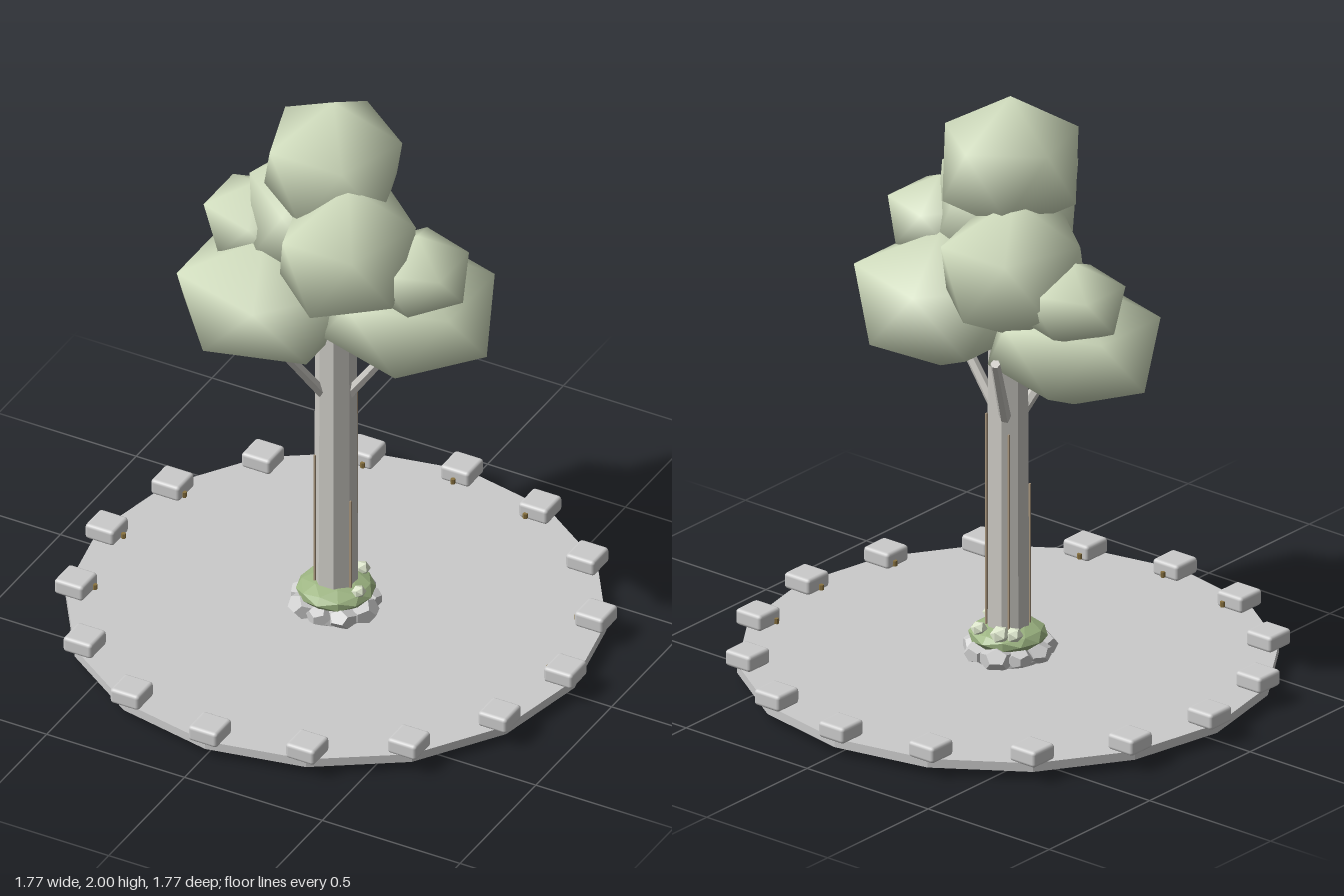
import * as THREE from 'three';
import { mergeVertices } from 'three/addons/utils/BufferGeometryUtils.js';
import { RoundedBoxGeometry } from 'three/addons/geometries/RoundedBoxGeometry.js';

const mat = (color, flatShading = true) => new THREE.MeshStandardMaterial({ color, flatShading });
const stone = mat(0xcccccc);
const smoothStone = mat(0xcccccc, false);
const bark = mat(0xcccac4);
const groove = mat(0xa8957c);
const leaf = mat(0xd3dfc0, false);
const moss = mat(0x9db582);
const paleMoss = mat(0xdde6cc);
const bronze = mat(0x8a7340);

function add(parent, name, geometry, material, x = 0, y = 0, z = 0) {
  const mesh = new THREE.Mesh(geometry, material);
  mesh.name = name;
  mesh.position.set(x, y, z);
  parent.add(mesh);
  return mesh;
}

// Smooth twelve-corner blob standing on one corner
function blobGeometry(yaw, rx, ry, rz) {
  let g = new THREE.IcosahedronGeometry(1, 0);
  g.deleteAttribute('normal');
  g.deleteAttribute('uv');
  g = mergeVertices(g, 1e-3);
  g.rotateZ(-Math.atan(2 / (1 + Math.sqrt(5))));
  g.rotateY(yaw);
  g.scale(rx, ry, rz);
  g.computeVertexNormals();
  return g;
}

// Straight limb between two points
function limb(parent, name, a, b, r0, r1) {
  const dir = b.clone().sub(a);
  const mesh = add(parent, name, new THREE.CylinderGeometry(r1, r0, dir.length(), 6), bark);
  mesh.position.copy(a).add(b).multiplyScalar(0.5);
  mesh.quaternion.setFromUnitVectors(new THREE.Vector3(0, 1, 0), dir.normalize());
}

export function createModel() {
  const model = new THREE.Group();
  model.name = 'tree';

  // Paved disc with a ring of square blocks and small inner lamps
  add(model, 'disc', new THREE.CylinderGeometry(0.865, 0.865, 0.03, 16), stone, 0, 0.043, 0);
  const blockGeo = new RoundedBoxGeometry(0.105, 0.055, 0.105, 2, 0.012);
  const lampGeo = new THREE.CylinderGeometry(0.008, 0.008, 0.018, 6);
  for (let i = 0; i < 16; i++) {
    const a = (i / 16) * Math.PI * 2;
    const s = Math.sin(a), c = Math.cos(a);
    add(model, 'edgeBlock', blockGeo, smoothStone, 0.832 * s, 0.083, 0.832 * c);
    add(model, 'lamp', lampGeo, bronze, 0.771 * s, 0.073, 0.771 * c);
  }

  // Octagonal trunk with flat sides to the front, and thin bark grooves
  const trunkGeo = new THREE.CylinderGeometry(0.066, 0.071, 1.2, 8);
  trunkGeo.rotateY(Math.PI / 8);
  add(model, 'trunk', trunkGeo, bark, 0, 0.68, 0);
  [[-0.052, 0.046, 0.5], [0.046, -0.052, 0.75], [-0.046, -0.052, 0.7], [0.067, 0.026, 0.35]].forEach(([x, z, h]) =>
    add(model, 'barkGroove', new THREE.BoxGeometry(0.006, h, 0.006), groove, x, 0.15 + h / 2, z));

  // Three branches at even angles
  for (let i = 0; i < 3; i++) {
    const a = (i / 3) * Math.PI * 2;
    const at = (r, y) => new THREE.Vector3(r * Math.cos(a), y, r * Math.sin(a));
    limb(model, 'branch', at(0.05, 0.9), at(0.24, 1.17), 0.02, 0.016);
  }

  // Crown: centre, radii, yaw
  const H = Math.PI / 2;
  const crown = new THREE.Group();
  crown.name = 'crown';
  model.add(crown);
  [
    [-0.01, 1.765, 0, 0.25, 0.235, 0.25, H],
    [0.12, 1.555, 0.14, 0.24, 0.245, 0.28, H],
    [-0.13, 1.48, -0.13, 0.25, 0.235, 0.28, -H],
    [-0.24, 1.2, 0.04, 0.325, 0.22, 0.28, 0],
    [0.225, 1.255, -0.065, 0.32, 0.235, 0.29, 2 * H],
    [0.32, 1.48, 0.045, 0.185, 0.14, 0.185, 2 * H],
    [-0.33, 1.4, -0.08, 0.195, 0.14, 0.185, 0],
  ].forEach(([x, y, z, rx, ry, rz, yaw]) =>
    add(crown, 'leafCluster', blobGeometry(yaw, rx, ry, rz), leaf, x, y, z));

  // Root ball poking through the disc, ringed with rocks
  const base = new THREE.Group();
  base.name = 'rockBase';
  model.add(base);
  add(base, 'rootBall', new THREE.IcosahedronGeometry(1, 1), stone, 0, 0.07, 0).scale.set(0.125, 0.07, 0.125);
  for (let i = 0; i < 9; i++) {
    const a = (i / 9) * Math.PI * 2;
    const rock = add(base, 'rock', new THREE.DodecahedronGeometry(0.045 + 0.006 * (i % 3), 0), stone,
      0.105 * Math.sin(a), 0.088, 0.105 * Math.cos(a));
    rock.scale.y = 0.75;
    rock.rotation.set(0, i * 1.7, 0);
  }

  // Moss cushion and pale tufts
  add(base, 'moss', new THREE.IcosahedronGeometry(1, 1), moss, 0, 0.132, 0).scale.set(0.128, 0.045, 0.128);
  [[-0.04, -0.085, 0.035], [0.045, -0.09, 0.028], [0.1, 0.03, 0.024], [-0.075, -0.06, 0.03]].forEach(([x, z, r]) => {
    add(base, 'mossTuft', new THREE.IcosahedronGeometry(r, 0), paleMoss, x, 0.165, z).scale.y = 0.85;
  });

  return model;
}
